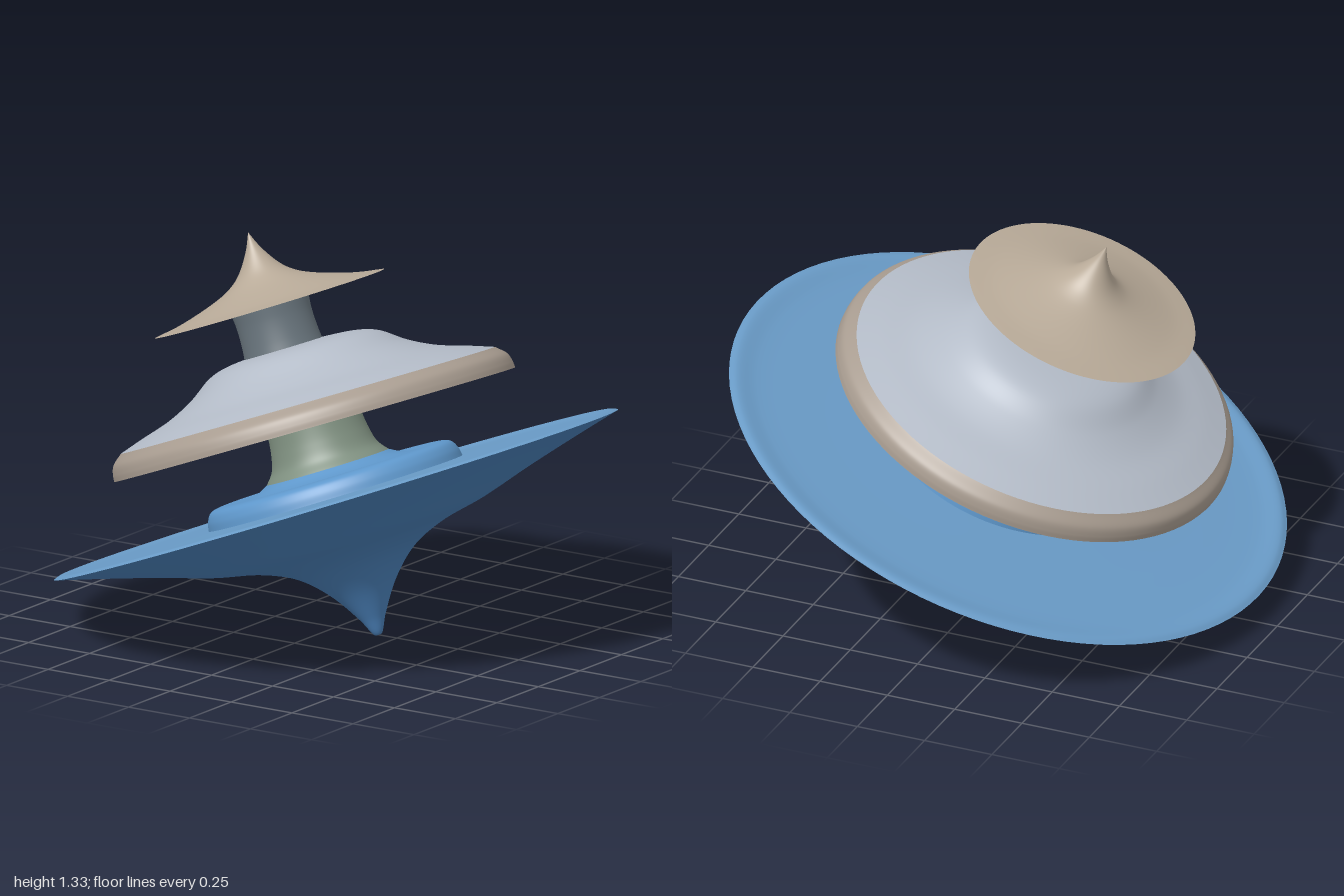
import * as THREE from 'three';

const SEGMENTS = 96;

// Turns a smooth curve through [radius, height] points into a surface of revolution.
// Points running outward face down, points running inward face up.
function turned(name, color, points, steps = 40) {
  const curve = new THREE.CatmullRomCurve3(
    points.map(([r, h]) => new THREE.Vector3(r, h, 0)), false, 'centripetal');
  const profile = curve.getPoints(steps).map(p => new THREE.Vector2(Math.max(p.x, 0), p.y));
  const material = new THREE.MeshStandardMaterial({ color, side: THREE.DoubleSide });
  const mesh = new THREE.Mesh(new THREE.LatheGeometry(profile, SEGMENTS), material);
  mesh.name = name;
  return mesh;
}

function tier(name, x, z, ...meshes) {
  const group = new THREE.Group();
  group.name = name;
  group.position.set(x, 0, z);
  group.add(...meshes);
  return group;
}

export function createModel() {
  const model = new THREE.Group();
  model.name = 'spinningTop';

  // Wide bottom disc with its spike, hub and flared neck
  model.add(tier('lowerTier', 0, 0,
    turned('spike', 0x4a80b8, [[0, -0.497], [0.012, -0.495], [0.045, -0.433], [0.117, -0.325],
      [0.207, -0.24], [0.32, -0.188], [0.48, -0.15], [0.66, -0.094], [0.85, -0.04], [1, 0]], 60),
    turned('lowerDeck', 0x6a9cc8, [[1, 0], [0.975, 0.008], [0.9, 0], [0.7, 0], [0.44, 0.005]]),
    turned('hub', 0x5f98cc, [[0.45, 0], [0.443, 0.035], [0.425, 0.063], [0.385, 0.073],
      [0.31, 0.067], [0.25, 0.08], [0.215, 0.098]]),
    turned('lowerNeck', 0x7f9080, [[0.215, 0.098], [0.187, 0.135], [0.172, 0.19],
      [0.164, 0.26], [0.16, 0.34], [0.165, 0.46]])
  ));

  // Hollow middle dome, sitting slightly askew
  const middle = tier('middleTier', -0.02, -0.02,
    turned('domeRim', 0xa89c90, [[0.707, 0.247], [0.705, 0.27], [0.695, 0.3], [0.66, 0.333]]),
    turned('dome', 0xb4bcc8, [[0.66, 0.333], [0.58, 0.36], [0.47, 0.395], [0.38, 0.44],
      [0.3, 0.495], [0.24, 0.515], [0.13, 0.526], [0, 0.526]], 50),
    turned('domeInside', 0x8c8c90, [[0, 0.49], [0.2, 0.485], [0.28, 0.46], [0.37, 0.405],
      [0.47, 0.36], [0.6, 0.315], [0.68, 0.275], [0.707, 0.247]], 50));
  middle.rotation.x = THREE.MathUtils.degToRad(-1.5);
  model.add(middle);

  // Upper neck and pointed cap
  model.add(tier('upperTier', -0.034, 0,
    turned('upperNeck', 0x68747c, [[0.142, 0.49], [0.134, 0.56], [0.132, 0.63], [0.137, 0.69]]),
    turned('capUnderside', 0x9c9488, [[0, 0.685], [0.2, 0.685], [0.406, 0.685]], 8),
    turned('cap', 0xb8aa98, [[0.406, 0.685], [0.31, 0.702], [0.17, 0.745], [0.115, 0.772],
      [0.075, 0.806], [0.028, 0.875], [0, 0.937]])
  ));

  // Lean of the whole top
  model.rotation.set(THREE.MathUtils.degToRad(-1.3), 0, THREE.MathUtils.degToRad(21.4));
  model.position.y = 0.467;

  const root = new THREE.Group();
  root.name = 'tieredSpinningTop';
  root.add(model);
  return root;
}
